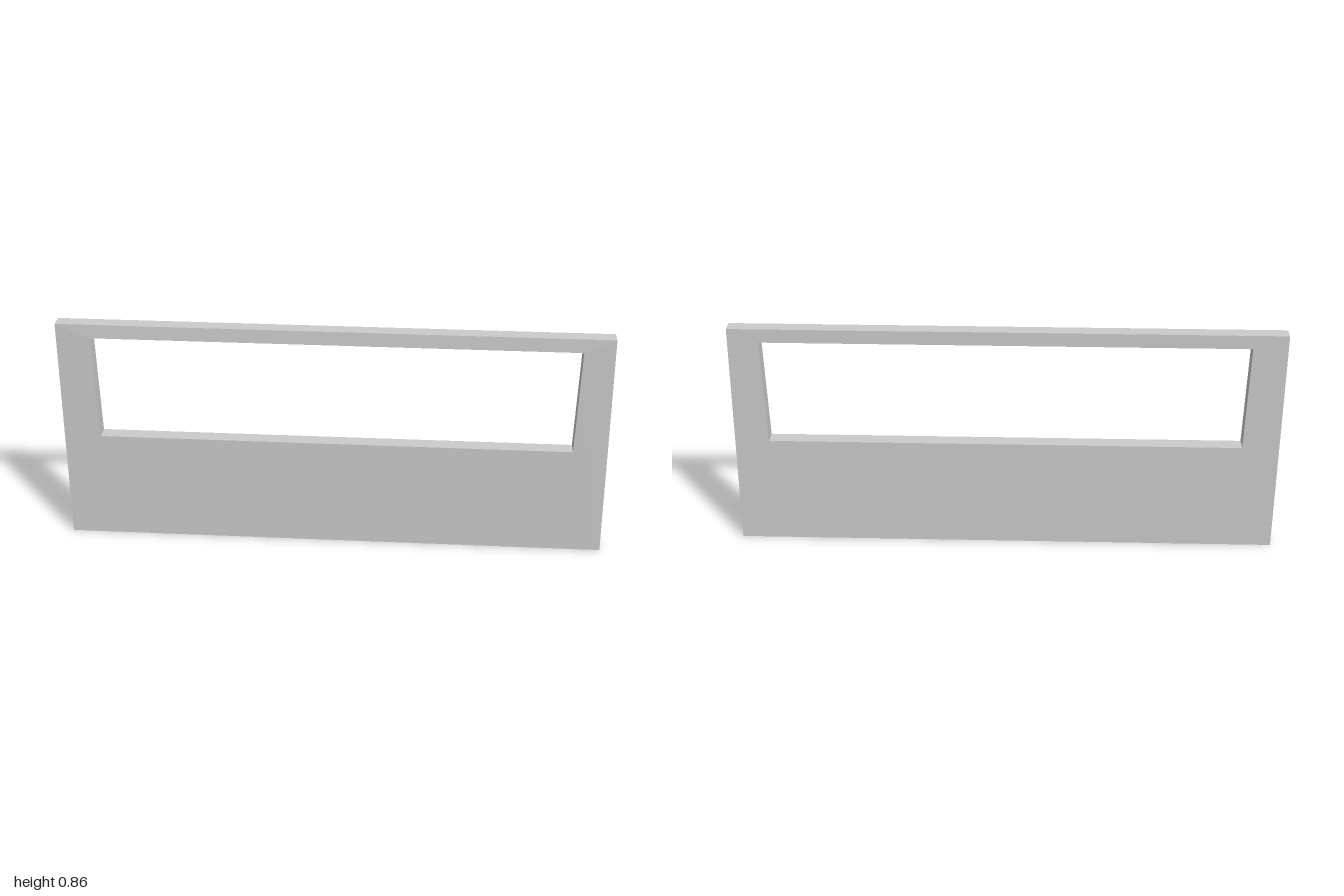
import * as THREE from 'three';

const HALF_DEPTH = 0.0285;

export function createModel() {
  const model = new THREE.Group();
  model.name = 'windowPanel';

  const corners = (list) => list.map(([x, y]) => new THREE.Vector2(x, y));

  // Outer outline, a little out of square
  const outline = new THREE.Shape(corners([[-1, 0], [1, 0], [0.992, 0.858], [-1, 0.858]]));

  // Wide opening in the upper half
  outline.holes.push(new THREE.Path(corners([
    [-0.865, 0.412], [-0.875, 0.807], [0.881, 0.807], [0.871, 0.412],
  ])));

  const geometry = new THREE.ExtrudeGeometry(outline, { depth: HALF_DEPTH * 2, bevelEnabled: false });
  geometry.translate(0, 0, -HALF_DEPTH);

  // Lean the front of the top rail slightly backwards
  const p = geometry.attributes.position;
  for (let i = 0; i < p.count; i++) {
    if (p.getY(i) > 0.85 && p.getZ(i) > 0) p.setZ(i, 0.0255);
  }
  geometry.computeVertexNormals();

  const panel = new THREE.Mesh(
    geometry,
    new THREE.MeshStandardMaterial({ color: 0xcccccc, flatShading: true }),
  );
  panel.name = 'panelWithOpening';
  model.add(panel);
  return model;
}
